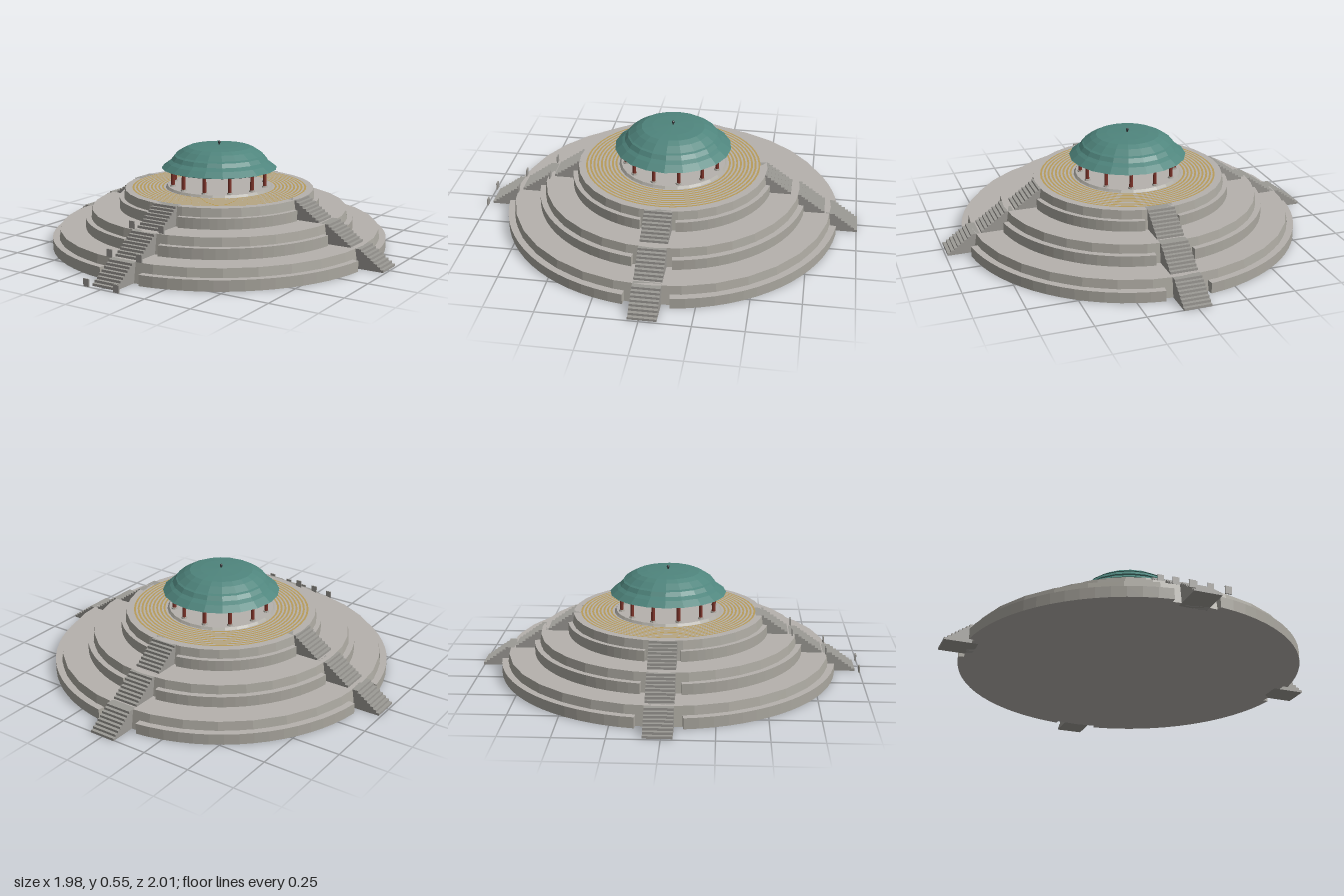
import * as THREE from 'three';

const mat = (name, color, extra = {}) => {
  const m = new THREE.MeshStandardMaterial({ color, flatShading: true, ...extra });
  m.name = name;
  return m;
};

export function createModel() {
  const wall = mat('wall stone', 0xaaa79f);
  const paving = mat('paving stone', 0xb5b1ad);
  const stepStone = mat('step stone', 0x9c9a95);
  const gold = mat('gold inlay', 0xb89c5a, { side: THREE.DoubleSide });
  const green = mat('green roof tile', 0x4f857d, { side: THREE.DoubleSide });
  const red = mat('red lacquer', 0x7d3329);
  const dark = mat('dark metal', 0x35383a);

  const model = new THREE.Group();
  model.name = 'terracedPavilion';
  model.position.z = -0.015;

  const add = (name, geometry, material, x = 0, y = 0, z = 0, parent = model) => {
    const mesh = new THREE.Mesh(geometry, material);
    mesh.name = name;
    mesh.position.set(x, y, z);
    parent.add(mesh);
    return mesh;
  };

  // Quarter ring of stone, leaving a gap on both ends for the stairs
  const quarterRing = (inner, outer, height, gap) => {
    const a0 = Math.asin(gap / outer);
    const a1 = Math.PI / 2 - a0;
    const shape = new THREE.Shape();
    shape.absarc(0, 0, outer, a0, a1, false);
    shape.absarc(0, 0, inner, a1, a0, true);
    shape.closePath();
    const g = new THREE.ExtrudeGeometry(shape, { depth: height, bevelEnabled: false, curveSegments: 8 });
    return g.rotateX(-Math.PI / 2);
  };

  // Solid flight of steps rising towards the centre, built facing +z
  const flight = (inner, outer, rise, width, count) => {
    const run = (outer - inner) / count;
    const shape = new THREE.Shape();
    shape.moveTo(inner - 0.03, 0);
    shape.lineTo(outer, 0);
    for (let i = 0; i < count; i++) {
      shape.lineTo(outer - i * run, ((i + 1) * rise) / count);
      shape.lineTo(outer - (i + 1) * run, ((i + 1) * rise) / count);
    }
    shape.lineTo(inner - 0.03, rise);
    shape.closePath();
    const g = new THREE.ExtrudeGeometry(shape, { depth: width, bevelEnabled: false });
    return g.translate(0, 0, -width / 2).rotateY(-Math.PI / 2);
  };

  // Three round terraces, each with a plinth ring and four flights of steps
  const tiers = [
    { r: 0.845, ringIn: 0.85, ringOut: 0.885, gap: 0.115, stairIn: 0.85, stairOut: 0.99 },
    { r: 0.675, ringIn: 0.68, ringOut: 0.71, gap: 0.1, stairIn: 0.67, stairOut: 0.812 },
    { r: 0.5, ringIn: 0.5, ringOut: 0.53, gap: 0.09, stairIn: 0.488, stairOut: 0.632 },
  ];
  tiers.forEach((t, i) => {
    const tier = new THREE.Group();
    tier.name = `terrace${i + 1}`;
    tier.position.y = i * 0.1;
    model.add(tier);
    add('terraceBody', new THREE.CylinderGeometry(t.r, t.r + 0.015, 0.1, 32), [wall, paving, paving], 0, 0.05, 0, tier);
    const ring = quarterRing(t.ringIn, t.ringOut, 0.055, t.gap);
    const steps = flight(t.stairIn, t.stairOut, 0.1, 0.14, 8);
    for (let k = 0; k < 4; k++) {
      add('plinthRing', ring, [paving, wall], 0, 0, 0, tier).rotation.y = (k * Math.PI) / 2;
      add('steps', steps, stepStone, 0, 0, 0, tier).rotation.y = (k * Math.PI) / 2;
    }
    // Small marker slabs beside the front steps
    for (const side of [-1, 1]) {
      add('markerSlab', new THREE.BoxGeometry(0.032, 0.038, 0.006), stepStone, side * 0.088, 0.019, t.stairOut + 0.022, tier);
    }
  });

  // Concentric inlaid bands on the upper terrace
  for (let i = 0; i < 9; i++) {
    const r = 0.296 + i * 0.0195;
    const band = new THREE.RingGeometry(r, r + 0.01, 48).rotateX(-Math.PI / 2);
    add('inlayBand', band, gold, 0, 0.302, 0);
  }

  // Pavilion floor and columns
  add('pavilionFloor', new THREE.CylinderGeometry(0.275, 0.285, 0.012, 28), [wall, paving, paving], 0, 0.306, 0);
  const column = new THREE.CylinderGeometry(0.009, 0.01, 0.096, 8);
  const base = new THREE.CylinderGeometry(0.014, 0.016, 0.008, 8);
  for (let i = 0; i < 12; i++) {
    const a = ((i + 0.5) * Math.PI) / 6;
    const x = Math.sin(a) * 0.25;
    const z = Math.cos(a) * 0.25;
    add('column', column, red, x, 0.36, z);
    add('columnBase', base, wall, x, 0.316, z);
  }

  // Three stacked roof tiers, each with its own overhanging eave
  const roofs = [
    [[0, 0.405], [0.29, 0.4], [0.306, 0.405], [0.27, 0.432], [0.225, 0.455]],
    [[0.2, 0.452], [0.255, 0.449], [0.238, 0.469], [0.18, 0.492]],
    [[0.17, 0.49], [0.232, 0.478], [0.195, 0.502], [0.165, 0.516], [0.11, 0.522], [0, 0.527]],
  ];
  roofs.forEach((profile, i) => {
    const points = profile.map(([r, y]) => new THREE.Vector2(r, y));
    add(`roofTier${i + 1}`, new THREE.LatheGeometry(points, 20), green);
  });

  // Finial
  add('finialStem', new THREE.CylinderGeometry(0.003, 0.005, 0.014, 6), dark, 0, 0.53, 0);
  add('finialBall', new THREE.SphereGeometry(0.008, 8, 6), dark, 0, 0.539, 0);

  const root = new THREE.Group();
  root.name = 'model';
  root.add(model);
  return root;
}
